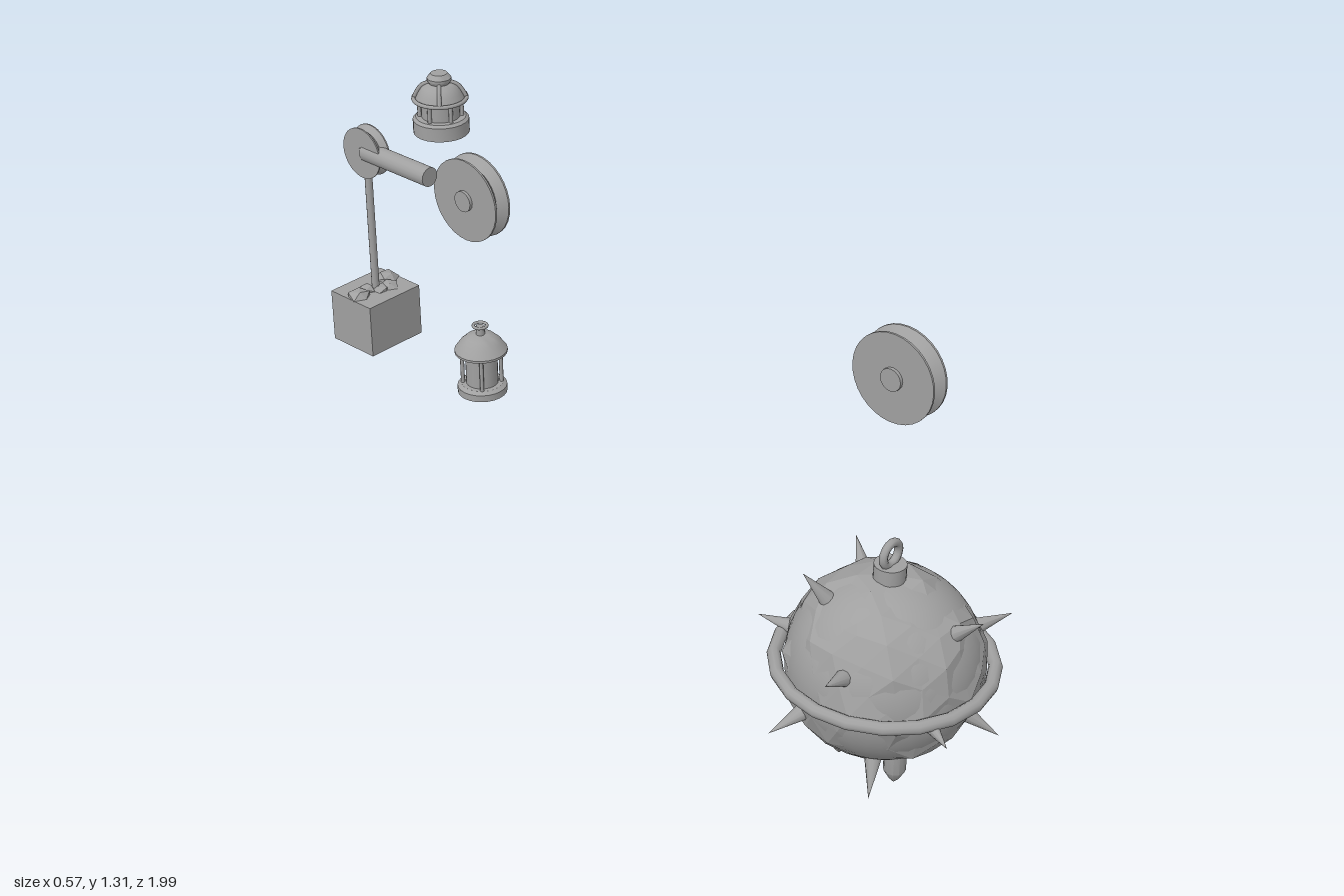
import * as THREE from 'three';
import { toCreasedNormals } from 'three/addons/utils/BufferGeometryUtils.js';

const steel = new THREE.MeshStandardMaterial({ color: 0xa0a0a0 });
steel.name = 'grey steel';

function add(parent, name, geometry, x = 0, y = 0, z = 0) {
  const mesh = new THREE.Mesh(geometry, steel);
  mesh.name = name;
  mesh.position.set(x, y, z);
  parent.add(mesh);
  return mesh;
}

function addGroup(parent, name, x, y, z) {
  const group = new THREE.Group();
  group.name = name;
  group.position.set(x, y, z);
  parent.add(group);
  return group;
}

// Turned part from [radius, height] pairs, bottom to top
function turned(points, sides = 24) {
  const profile = points.map(([r, h]) => new THREE.Vector2(r, h));
  return toCreasedNormals(new THREE.LatheGeometry(profile, sides), 0.6);
}

function cylinder(r, h, sides = 16) {
  return new THREE.CylinderGeometry(r, r, h, sides);
}

// Faceted stone: every corner of a ball is pushed in or out by a repeatable rule
function faceted(radius, detail, rough) {
  const g = new THREE.IcosahedronGeometry(1, detail);
  const p = g.attributes.position;
  const v = new THREE.Vector3();
  for (let i = 0; i < p.count; i++) {
    v.fromBufferAttribute(p, i).normalize();
    const wave = Math.sin(Math.round(v.x * 50) * 1.7 + Math.round(v.y * 50) * 2.9 + Math.round(v.z * 50) * 4.3);
    v.multiplyScalar(radius + rough * wave);
    p.setXYZ(i, v.x, v.y, v.z);
  }
  g.deleteAttribute('normal');
  g.computeVertexNormals();
  return g;
}

// Grooved wheel whose axle runs along x
function wheel(parent, name, r, half, x, y, z) {
  const g = addGroup(parent, name, x, y, z);
  const rim = turned([[0, -half], [r, -half], [r, -half * 0.8], [r * 0.8, 0],
    [r, half * 0.8], [r, half], [0, half]], 32);
  add(g, 'grooved rim', rim.rotateZ(-Math.PI / 2));
  return g;
}

function drivePulley(parent, z) {
  const g = wheel(parent, 'drivePulley', 0.107, 0.025, 0.085, 0.973, z);
  add(g, 'hub', cylinder(0.027, 0.066).rotateZ(Math.PI / 2));
  for (const sy of [-1, 1]) for (const sz of [-1, 1]) {
    add(g, 'bolt', cylinder(0.015, 0.012, 12).rotateZ(Math.PI / 2), 0.027, sy * 0.04, sz * 0.04);
  }
}

function spikedBall(parent) {
  const g = addGroup(parent, 'spikedBall', 0, 0.302, 0.717);
  add(g, 'smooth core', new THREE.SphereGeometry(0.224, 40, 24));
  add(g, 'faceted shell', faceted(0.226, 3, 0.008));
  add(g, 'equator band', new THREE.TorusGeometry(0.247, 0.016, 10, 20).rotateX(Math.PI / 2), 0, -0.002);

  // Spikes spread in a golden spiral, leaving the top free
  const up = new THREE.Vector3(0, 1, 0);
  for (let i = 1; i < 14; i++) {
    const h = 1 - (i + 0.5) / 7;
    const a = -i * 2.39996;
    const w = Math.sqrt(1 - h * h);
    const dir = new THREE.Vector3(w * Math.cos(a), h, w * Math.sin(a));
    const spike = add(g, 'spike', new THREE.ConeGeometry(0.024, 0.11, 10));
    spike.position.copy(dir).multiplyScalar(0.256);
    spike.quaternion.setFromUnitVectors(up, dir);
  }

  // Pointed studs underneath
  for (let i = 0; i < 3; i++) {
    const a = i * Math.PI * 2 / 3;
    add(g, 'lower stud', turned([[0, -0.282], [0.012, -0.268], [0.026, -0.243], [0.026, -0.17], [0, -0.17]], 12),
      0.09 * Math.cos(a), 0, 0.09 * Math.sin(a));
  }
  add(g, 'top collar', cylinder(0.037, 0.065, 20), 0, 0.226);
  add(g, 'hanging loop', new THREE.TorusGeometry(0.028, 0.01, 8, 16), 0, 0.283);
}

function hoist(parent) {
  const g = addGroup(parent, 'hoist', 0, 0, -0.925);
  add(g, 'beam', cylinder(0.025, 0.225).rotateX(Math.PI / 2), 0, 1.04, 0.1125);
  const small = wheel(g, 'ropePulley', 0.066, 0.018, 0, 1.04, 0);
  add(small, 'axle', cylinder(0.014, 0.04).rotateZ(Math.PI / 2));
  add(g, 'rope', cylinder(0.01, 0.36, 10), 0, 0.82, 0);
  add(g, 'crate', new THREE.BoxGeometry(0.17, 0.138, 0.145), 0, 0.588, -0.002);
  // Ore heaped on the crate
  for (const [x, z, r] of [[-0.055, 0, 0.032], [0.055, -0.02, 0.032], [-0.02, -0.012, 0.024],
    [0.03, 0.015, 0.026], [0.005, 0.012, 0.022]]) {
    const ore = add(g, 'ore', faceted(r, 0, r * 0.15), x, 0.657, z);
    ore.scale.y = 0.7;
    ore.rotation.y = x * 40;
  }
}

// Upright bars around a lantern
function bars(g, count, r, bottom, top) {
  for (let i = 0; i < count; i++) {
    const a = Math.PI / 4 + i * Math.PI * 2 / count;
    add(g, 'bar', cylinder(0.005, top - bottom, 8), r * Math.cos(a), (top + bottom) / 2, r * Math.sin(a));
  }
}

function wideLantern(parent) {
  const g = addGroup(parent, 'wideLantern', 0, 1.177, -0.65);
  add(g, 'base', turned([[0, 0], [0.067, 0], [0.067, 0.034], [0.06, 0.04], [0, 0.04]]));
  add(g, 'glass', cylinder(0.046, 0.06, 24), 0, 0.066);
  bars(g, 6, 0.05, 0.035, 0.092);
  add(g, 'guard ring', new THREE.TorusGeometry(0.063, 0.005, 8, 28).rotateX(Math.PI / 2), 0, 0.086);
  add(g, 'domed roof', turned([[0, 0.085], [0.058, 0.085], [0.052, 0.1], [0.042, 0.116], [0.03, 0.123], [0, 0.124]]));
  // Ribs arching over the dome
  for (let i = 0; i < 4; i++) {
    const path = new THREE.CatmullRomCurve3([
      new THREE.Vector3(0.063, 0.086, 0), new THREE.Vector3(0.054, 0.104, 0),
      new THREE.Vector3(0.042, 0.119, 0), new THREE.Vector3(0.022, 0.127, 0)]);
    add(g, 'roof rib', new THREE.TubeGeometry(path, 8, 0.005, 6)).rotation.y = Math.PI / 4 + i * Math.PI / 2;
  }
  add(g, 'cap', turned([[0, 0.12], [0.022, 0.12], [0.029, 0.131], [0.029, 0.137], [0.02, 0.148], [0, 0.148]]));
}

function tallLantern(parent) {
  const g = addGroup(parent, 'tallLantern', 0, 0.505, -0.545);
  add(g, 'base', turned([[0, 0], [0.062, 0], [0.062, 0.018], [0.052, 0.025], [0, 0.025]]));
  add(g, 'glass', cylinder(0.04, 0.1, 24), 0, 0.07);
  bars(g, 4, 0.048, 0.02, 0.12);
  add(g, 'roof', turned([[0, 0.112], [0.066, 0.112], [0.066, 0.118], [0.052, 0.138], [0.036, 0.153], [0.02, 0.159], [0, 0.16]]));
  add(g, 'finial', cylinder(0.011, 0.026), 0, 0.168);
  add(g, 'top ring', new THREE.TorusGeometry(0.017, 0.004, 8, 20).rotateX(Math.PI / 2), 0, 0.183);
}

export function createModel() {
  const model = new THREE.Group();
  model.name = 'mineEquipment';
  spikedBall(model);
  drivePulley(model, 0.65);
  drivePulley(model, -0.645);
  hoist(model);
  wideLantern(model);
  tallLantern(model);
  return model;
}
